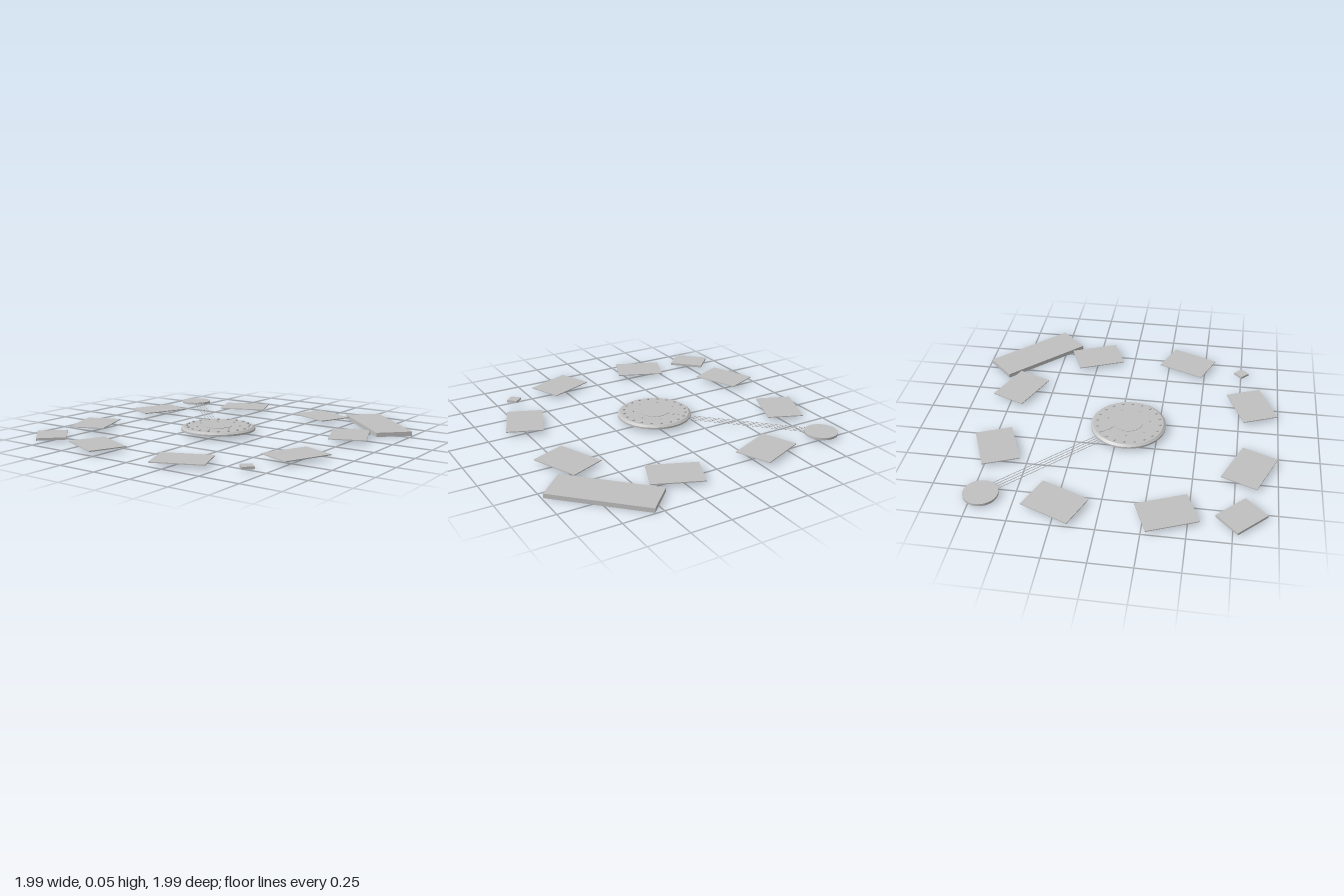
import * as THREE from 'three';

export function createModel() {
  const model = new THREE.Group();
  const grey = new THREE.MeshStandardMaterial({ color: 0xc0c0c0 });
  grey.name = 'pale grey';

  // The layout radiates from the hub
  const layout = new THREE.Group();
  layout.name = 'layout';
  layout.position.set(-0.06, 0, -0.063);
  model.add(layout);

  // Adds a part at a given distance and turn around the hub
  function place(name, geometry, degrees, distance, y, offset = 0) {
    const arm = new THREE.Group();
    arm.rotation.y = THREE.MathUtils.degToRad(degrees);
    const mesh = new THREE.Mesh(geometry, grey);
    mesh.name = name;
    mesh.position.set(offset, y, -distance);
    arm.add(mesh);
    layout.add(arm);
    return mesh;
  }
  function block(name, width, depth, bottom, top, degrees, distance) {
    place(name, new THREE.BoxGeometry(width, top - bottom, depth), degrees, distance, (top + bottom) / 2);
  }

  // Ring of eight thin panels
  for (let i = 0; i < 8; i++) block('panel', 0.314, 0.23, 0.021, 0.027, 22.5 + 45 * i, 0.833);

  // Corner blocks and round platform
  block('longBlock', 0.619, 0.233, 0.0, 0.027, -135, 1.065);
  block('mediumBlock', 0.23, 0.182, 0.012, 0.027, 45, 1.04);
  block('smallBlock', 0.07, 0.07, 0.012, 0.027, 135, 0.98);
  place('roundPlatform', new THREE.CylinderGeometry(0.103, 0.103, 0.015, 48), -45, 1.067, 0.0195);

  // Hub with bevelled rim and a slightly raised centre
  const profile = [[0, 0.022], [0.237, 0.022], [0.237, 0.033], [0.222, 0.044], [0.092, 0.044], [0.092, 0.047], [0, 0.047]];
  const points = [];
  profile.forEach(([r, y], i) => {
    const p = new THREE.Vector2(r, y);
    points.push(p);
    // repeated points keep the edges sharp
    if (i > 0 && i < profile.length - 1) points.push(p.clone());
  });
  place('hub', new THREE.LatheGeometry(points, 64), 0, 0, 0);

  // Studs on the hub: outer ring of twenty, inner ring of seven
  const outerStud = new THREE.CylinderGeometry(0.009, 0.009, 0.01, 8);
  const innerStud = new THREE.CylinderGeometry(0.005, 0.005, 0.008, 8);
  for (let i = 0; i < 20; i++) place('outerStud', outerStud, 18 * i, 0.2, 0.047);
  for (let i = 0; i < 7; i++) place('innerStud', innerStud, (360 / 7) * i, 0.138, 0.046);

  // Four thin lines from the hub to the round platform
  const line = new THREE.CylinderGeometry(0.002, 0.002, 0.77, 6);
  line.rotateX(Math.PI / 2);
  for (const x of [-0.03, -0.01, 0.01, 0.03]) place('connectingLine', line, -45, 0.595, 0.025, x);

  // Short line lying on the hub
  const lead = new THREE.CylinderGeometry(0.002, 0.002, 0.1, 6);
  lead.rotateX(Math.PI / 2);
  place('hubLine', lead, -45, 0.145, 0.046, 0.02);

  return model;
}
